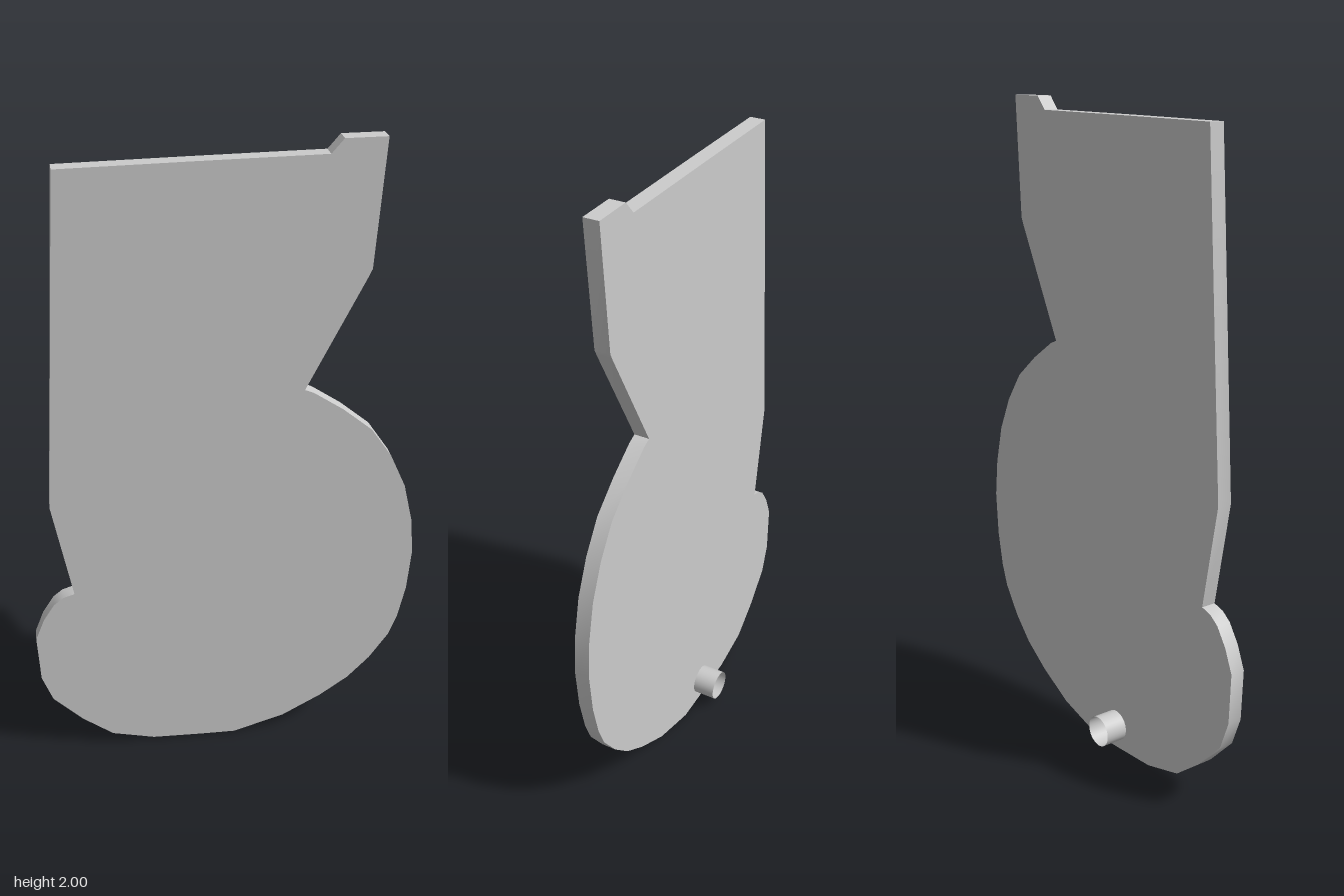
import * as THREE from 'three';
import { toCreasedNormals } from 'three/addons/utils/BufferGeometryUtils.js';

export function createModel() {
  const model = new THREE.Group();
  model.name = 'platePart';
  const material = new THREE.MeshStandardMaterial({ color: 0xcccccc });

  // Flat plate: straight arm on top, large lobe on +x, small lobe on -x
  const arm = [
    [-0.47, 0.62], [-0.525, 0.935], [-0.455, 1.953], [-0.1, 1.957], [0.28, 1.96],
    [0.315, 2], [0.435, 2], [0.412, 1.63], [0.403, 1.61], [0.232, 1.268],
  ];
  const largeLobe = [
    [0.26, 1.256], [0.35, 1.195], [0.44, 1.12], [0.505, 1.025], [0.555, 0.915],
    [0.585, 0.79], [0.597, 0.67], [0.587, 0.53], [0.565, 0.42], [0.54, 0.35],
    [0.48, 0.26], [0.41, 0.185], [0.32, 0.12], [0.195, 0.05], [0.03, 0],
  ];
  const smallLobe = [
    [-0.08, 0.003], [-0.24, 0.01], [-0.375, 0.045], [-0.47, 0.12], [-0.56, 0.215],
    [-0.592, 0.305], [-0.598, 0.46], [-0.57, 0.53], [-0.535, 0.585], [-0.505, 0.609],
  ];
  const outline = [...arm, ...largeLobe, ...smallLobe].map(([x, y]) => new THREE.Vector2(x, y));
  const plateGeometry = new THREE.ExtrudeGeometry(new THREE.Shape(outline), {
    depth: 0.047, bevelEnabled: false,
  });
  plateGeometry.translate(0, 0, 0.012);
  const plate = new THREE.Mesh(toCreasedNormals(plateGeometry, 0.45), material);
  plate.name = 'plate';
  model.add(plate);

  // Open tubular peg standing out of the back
  const pegMaterial = material.clone();
  pegMaterial.side = THREE.DoubleSide;
  const peg = new THREE.Mesh(new THREE.CylinderGeometry(0.048, 0.048, 0.072, 32, 1, true), pegMaterial);
  peg.name = 'backPeg';
  peg.rotation.x = Math.PI / 2;
  peg.position.set(-0.08, 0.08, -0.024);
  model.add(peg);

  return model;
}
